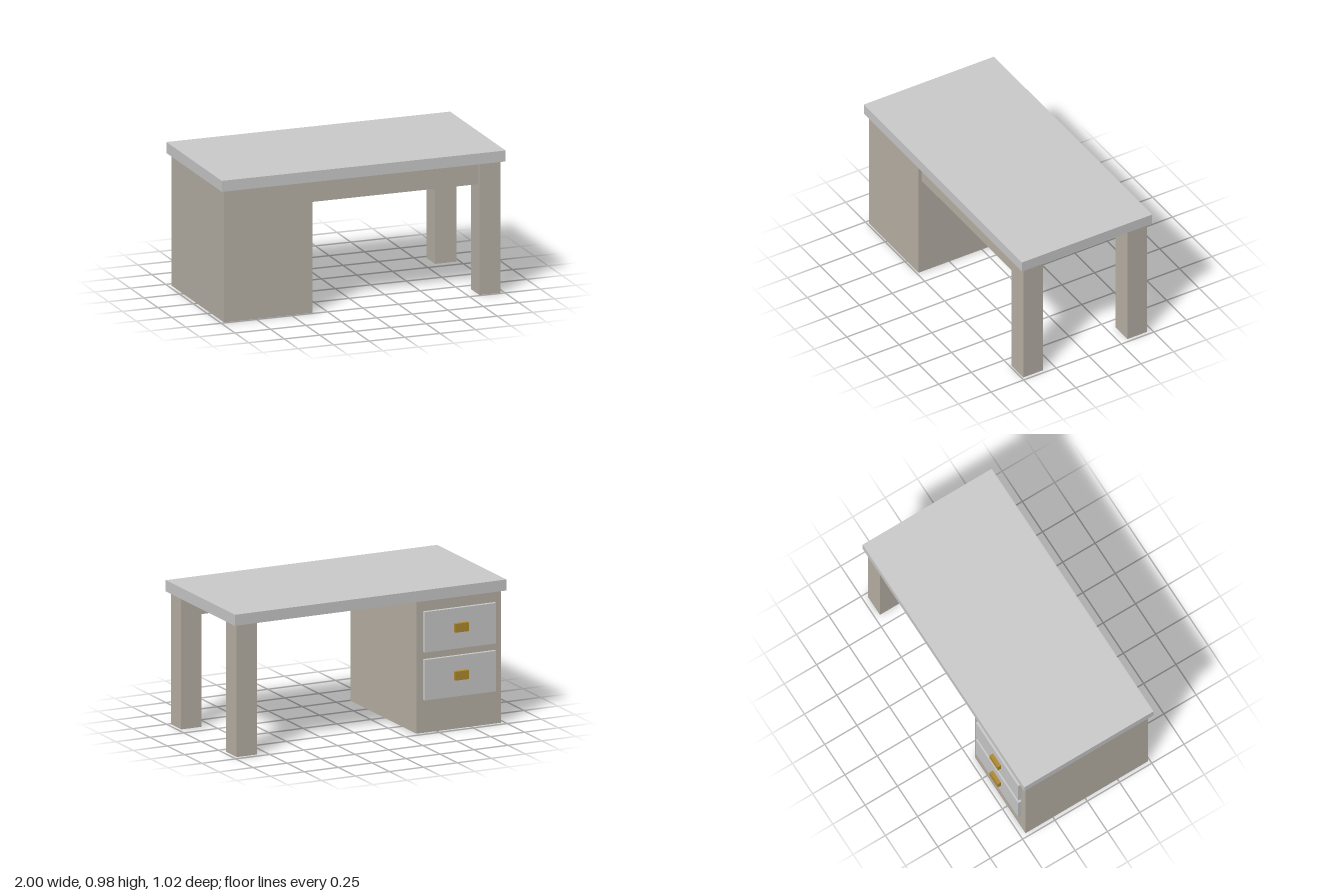
import * as THREE from 'three';

const material = (color) => new THREE.MeshStandardMaterial({ color });

export function createModel() {
  const desk = new THREE.Group();
  desk.name = 'desk';
  const body = material(0xb9b2a7);
  const panel = material(0xc4c4c0);
  const brass = material(0xb08a2e);

  // Box given by its [min, max] extents along each axis
  const block = (name, mat, [x0, x1], [y0, y1], [z0, z1], parent = desk) => {
    const mesh = new THREE.Mesh(new THREE.BoxGeometry(x1 - x0, y1 - y0, z1 - z0), mat);
    mesh.position.set((x0 + x1) / 2, (y0 + y1) / 2, (z0 + z1) / 2);
    mesh.name = name;
    parent.add(mesh);
    return mesh;
  };

  // Slab top, pedestal and modesty rail
  block('tabletop', panel, [-1, 1], [0.9, 0.975], [-0.4875, 0.5125]);
  block('drawerCabinet', body, [-0.975, -0.35], [0, 0.9], [-0.4625, 0.4875]);
  block('frontRail', body, [-0.35, 0.825], [0.75, 0.9], [0.3875, 0.4625]);

  // Two square legs on the open side
  block('frontLeg', body, [0.825, 0.975], [0, 0.9], [0.3375, 0.4875]);
  block('backLeg', body, [0.825, 0.975], [0, 0.9], [-0.4625, -0.3125]);

  // Two drawers with block handles, on the sitter's side
  [['upperDrawer', 0.55], ['lowerDrawer', 0.225]].forEach(([name, y]) => {
    const drawer = new THREE.Group();
    drawer.name = name;
    block('drawerFront', panel, [-0.925, -0.4], [y, y + 0.275], [-0.4875, -0.4625], drawer);
    block('drawerHandle', brass, [-0.7125, -0.6125], [y + 0.115, y + 0.175], [-0.5125, -0.4875], drawer);
    desk.add(drawer);
  });

  return desk;
}
